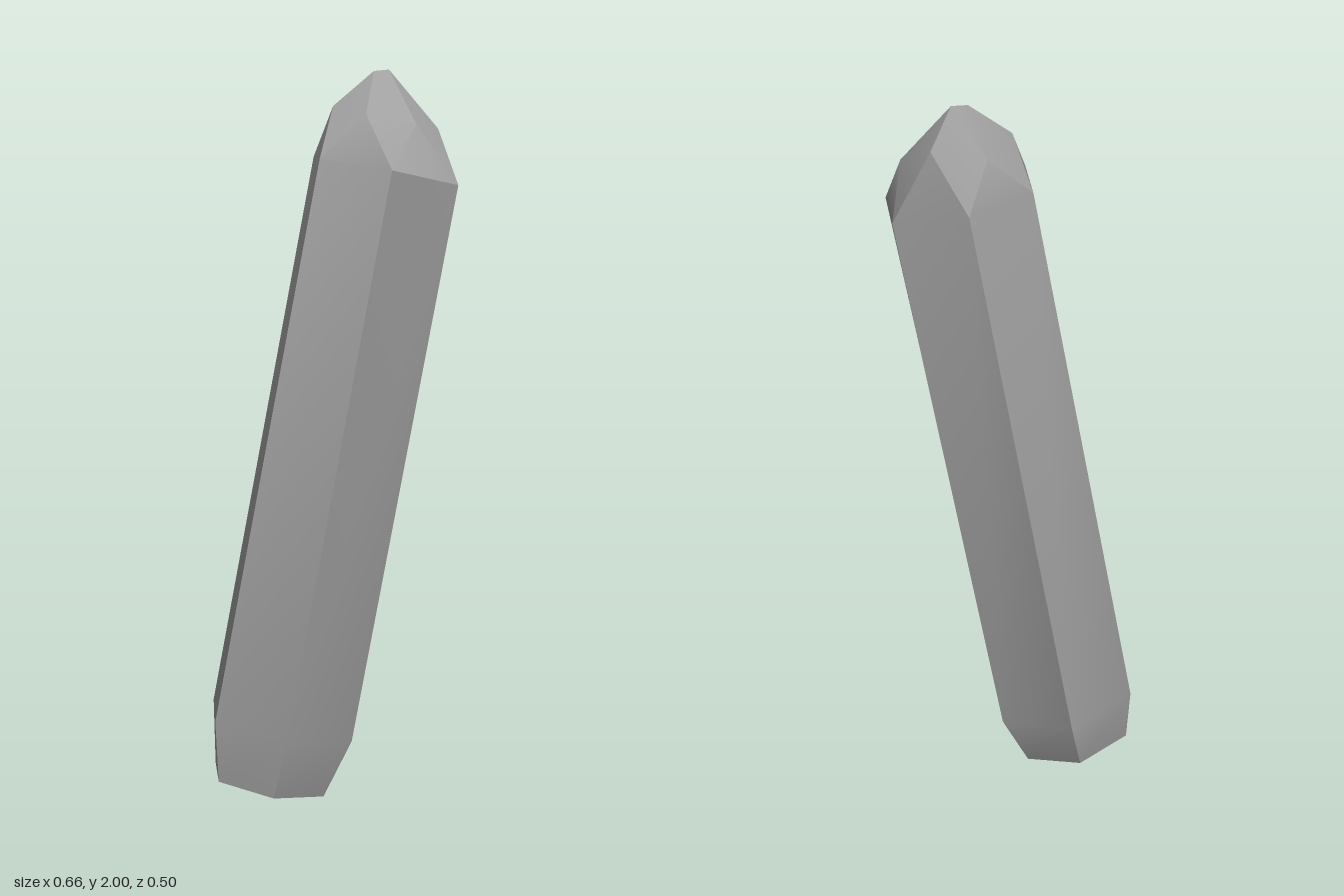
import * as THREE from 'three';
import { toCreasedNormals } from 'three/addons/utils/BufferGeometryUtils.js';

// Six-cornered cross-sections, counter-clockwise seen from above
const foot = [[-0.31, 0.06, -0.11], [-0.32, 0.055, 0.05], [-0.18, 0.03, 0.145],
  [-0.03, 0.003, 0.07], [-0.02, 0, -0.09], [-0.155, 0.04, -0.19]];
const hip = [[-0.31, 0.235, -0.147], [-0.33, 0.23, 0.065], [-0.15, 0.2, 0.183],
  [0.045, 0.165, 0.095], [0.06, 0.165, -0.12], [-0.115, 0.21, -0.255]];
const shoulder = [[-0.03, 1.765, -0.085], [-0.05, 1.76, 0.132], [0.12, 1.73, 0.25],
  [0.32, 1.69, 0.15], [0.33, 1.7, -0.065], [0.15, 1.745, -0.175]];
// Crown points, one above each shoulder side
const crown = [[0.01, 1.9, -0.005], [0.075, 1.875, 0.127], [0.21, 1.85, 0.128],
  [0.295, 1.84, 0.015], [0.235, 1.9, -0.11], [0.095, 1.875, -0.125]];
// Short ridge at the tip, and which end each crown point rises to
const ridge = [[0.13, 1.995, -0.05], [0.175, 2, -0.065]];
const tip = [0, 0, 1, 1, 1, 1].map((i) => ridge[i]);

function facets(triangles) {
  const geometry = new THREE.BufferGeometry();
  geometry.setAttribute('position', new THREE.Float32BufferAttribute(triangles.flat(2), 3));
  return toCreasedNormals(geometry, 0.5);
}

export function createModel() {
  const stone = new THREE.MeshStandardMaterial({ color: 0xa0a0a0 });
  stone.name = 'grey stone';

  const triangles = [];
  const quad = (a, b, c, d) => {
    triangles.push([a, b, c]);
    if (c !== d) triangles.push([a, c, d]);
  };

  for (let i = 0; i < 6; i++) {
    const n = (i + 1) % 6;
    // Chamfered foot and long shaft
    quad(foot[i], foot[n], hip[n], hip[i]);
    quad(hip[i], hip[n], shoulder[n], shoulder[i]);
    // Faceted point
    triangles.push([shoulder[i], shoulder[n], crown[i]]);
    triangles.push([shoulder[n], crown[n], crown[i]]);
    quad(crown[i], crown[n], tip[n], tip[i]);
    // Flat underside
    if (i > 0 && i < 5) triangles.push([foot[0], foot[n], foot[i]]);
  }

  const crystal = new THREE.Mesh(facets(triangles), stone);
  crystal.name = 'crystal';
  const group = new THREE.Group();
  group.name = 'leaningCrystal';
  group.add(crystal);
  return group;
}
